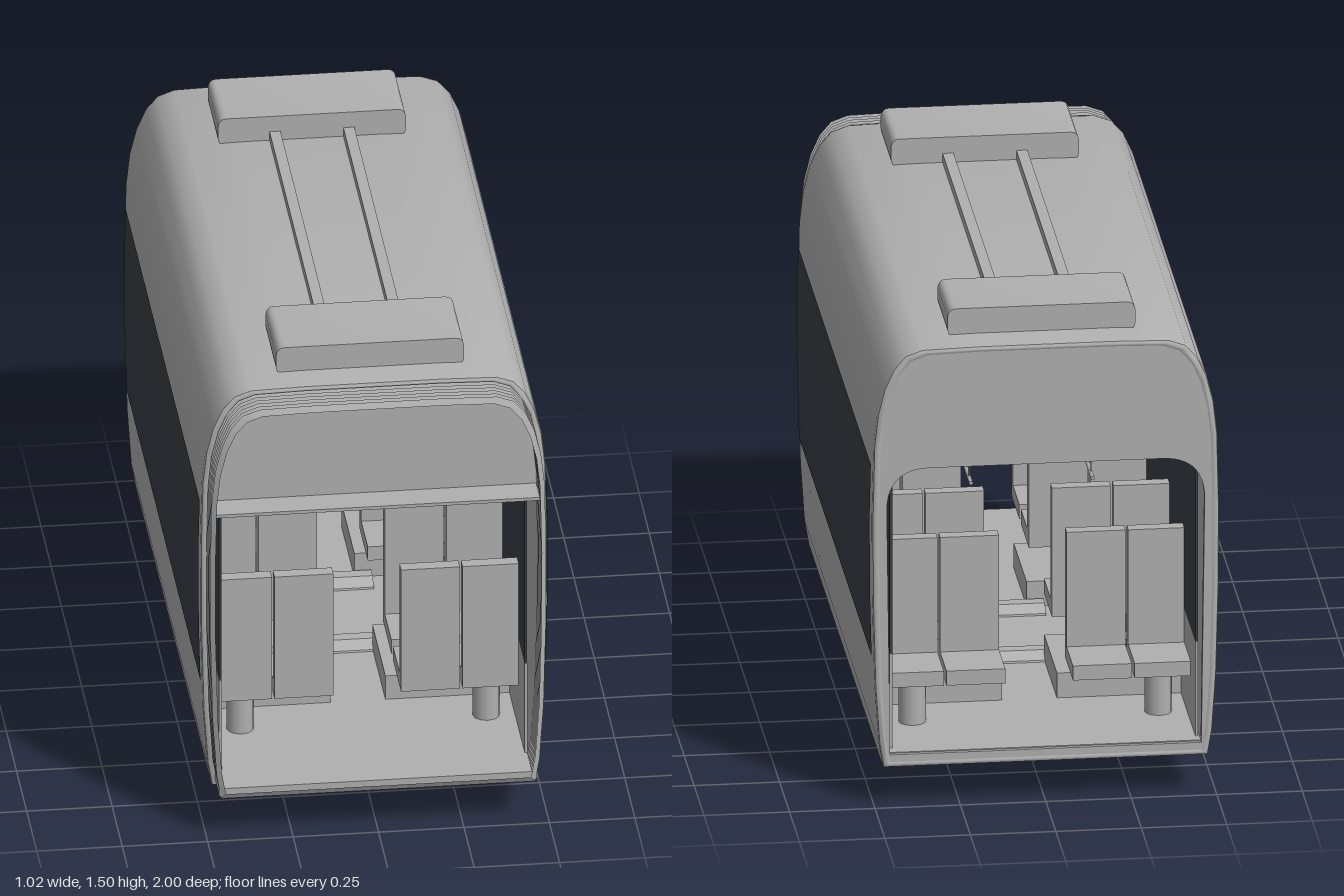
import * as THREE from 'three';
import { toCreasedNormals, mergeVertices } from 'three/addons/utils/BufferGeometryUtils.js';

// Right half of the carriage cross-section, from sill to roof centre
const PROFILE = [[0.475, 0.125], [0.488, 0.2], [0.5, 0.38], [0.507, 0.65], [0.508, 0.9], [0.503, 1.12],
  [0.492, 1.22], [0.472, 1.3], [0.445, 1.36], [0.41, 1.4], [0.36, 1.418], [0.2, 1.422]];

function halfWidth(y) {
  for (let i = 1; i < PROFILE.length; i++) {
    const [x0, y0] = PROFILE[i - 1], [x1, y1] = PROFILE[i];
    if (y <= y1) return x0 + (x1 - x0) * (y - y0) / (y1 - y0);
  }
  return 0.2;
}

// Full cross-section scaled about its centre
function section(sx = 1, sy = 1) {
  const right = PROFILE.map(([x, y]) => new THREE.Vector2(x * sx, 0.773 + (y - 0.773) * sy));
  const left = right.map((p) => new THREE.Vector2(-p.x, p.y)).reverse();
  return [...right, ...left];
}

// Arched doorway with rounded upper corners
function doorway() {
  const p = new THREE.Path();
  p.moveTo(-0.455, 0.165);
  p.lineTo(0.455, 0.165);
  p.lineTo(0.465, 0.93);
  p.quadraticCurveTo(0.46, 1.05, 0.34, 1.05);
  p.lineTo(-0.34, 1.05);
  p.quadraticCurveTo(-0.46, 1.05, -0.465, 0.93);
  p.closePath();
  return p;
}

export function createModel() {
  const model = new THREE.Group();
  const grey = new THREE.MeshStandardMaterial({ color: 0xb0b0b0, side: THREE.DoubleSide });
  grey.name = 'body grey';
  const glass = new THREE.MeshStandardMaterial({ color: 0x383f45, side: THREE.DoubleSide });
  glass.name = 'window dark';
  const screen = new THREE.MeshStandardMaterial({ color: 0x2c3440 });
  screen.name = 'screen blue black';

  const add = (name, geo, mat = grey, x = 0, y = 0, z = 0, parent = model) => {
    const mesh = new THREE.Mesh(geo, mat);
    mesh.name = name;
    mesh.position.set(x, y, z);
    parent.add(mesh);
    return mesh;
  };
  // Box given by its lower and upper limits
  const block = (name, x0, x1, y0, y1, z0, z1, mat = grey, parent = model) =>
    add(name, new THREE.BoxGeometry(x1 - x0, y1 - y0, z1 - z0), mat,
      (x0 + x1) / 2, (y0 + y1) / 2, (z0 + z1) / 2, parent);
  // Turned part lying along x
  const turned = (name, points, x, y, z, sides = 24) => {
    const geo = new THREE.LatheGeometry(points.map(([r, h]) => new THREE.Vector2(r, h)), sides);
    geo.rotateZ(-Math.PI / 2);
    return add(name, toCreasedNormals(geo, 0.6), grey, x, y, z);
  };

  // Outer shell: a tube with softly bevelled ends
  const shellShape = new THREE.Shape(section());
  shellShape.holes.push(new THREE.Path(section(0.95, 0.965)));
  const shell = new THREE.ExtrudeGeometry(shellShape, {
    depth: 1.86, bevelEnabled: true, bevelSize: 0.01, bevelThickness: 0.015, bevelOffset: -0.01, bevelSegments: 2,
  });
  shell.translate(0, 0, -0.985);
  add('bodyShell', toCreasedNormals(shell, 0.6));

  // Rear wall with doorway
  const rear = new THREE.Shape(section(0.965, 0.975));
  rear.holes.push(doorway());
  add('rearWall', new THREE.ExtrudeGeometry(rear, { depth: 0.02, bevelEnabled: false }), grey, 0, 0, -0.997);

  // Front panel above the entrance: upper part of the section only
  const upper = section(0.955, 0.968).filter((p) => p.y > 1.07);
  const panel = new THREE.Shape([new THREE.Vector2(0.48, 1.05), ...upper, new THREE.Vector2(-0.48, 1.05)]);
  add('frontHeaderPanel', new THREE.ExtrudeGeometry(panel, { depth: 0.015, bevelEnabled: false }), grey, 0, 0, 0.87);

  // Accordion gangway
  const rings = 13;
  const pos = [], idx = [];
  const n = section().length;
  for (let i = 0; i < rings; i++) {
    const s = i % 2 ? 0.968 : 0.94;
    for (const p of section(s, s + 0.015)) pos.push(p.x, p.y, 0.885 + (0.115 * i) / (rings - 1));
  }
  for (let i = 0; i < rings - 1; i++) {
    for (let j = 0; j < n; j++) {
      const a = i * n + j, b = i * n + (j + 1) % n;
      idx.push(a, b, a + n, b, b + n, a + n);
    }
  }
  const bellows = new THREE.BufferGeometry();
  bellows.setAttribute('position', new THREE.Float32BufferAttribute(pos, 3));
  bellows.setIndex(idx);
  add('gangwayBellows', toCreasedNormals(mergeVertices(bellows), 0.5));

  // Floor and ceiling
  block('floor', -0.465, 0.465, 0.145, 0.168, -0.985, 0.99);
  block('ceiling', -0.475, 0.475, 1.05, 1.06, -0.98, 0.975);

  for (const s of [1, -1]) {
    // Side windows following the wall curve
    const win = new THREE.PlaneGeometry(1.825, 0.595, 1, 8);
    win.rotateY(s * Math.PI / 2);
    win.translate(0, 0.7575, -0.0475);
    const p = win.attributes.position;
    for (let i = 0; i < p.count; i++) p.setX(i, s * (halfWidth(p.getY(i)) + 0.003));
    win.computeVertexNormals();
    add('sideWindow', win, glass);

    // Inner lining with glazed upper half
    block('wallLining', s * 0.447 - 0.004, s * 0.447 + 0.004, 0.15, 0.46, -0.95, 0.87);
    block('innerGlazing', s * 0.447 - 0.004, s * 0.447 + 0.004, 0.46, 1.04, -0.95, 0.865, glass);

    // Overhead handrail
    const rail = new THREE.CylinderGeometry(0.006, 0.006, 1.2, 8);
    rail.rotateX(Math.PI / 2);
    add('handrail', rail, grey, s * 0.178, 0.867, -0.05);
    for (const z of [-0.6, -0.05, 0.5]) {
      add('handrailHanger', new THREE.CylinderGeometry(0.003, 0.003, 0.18, 6), grey, s * 0.178, 0.96, z);
    }

    // Roof conduit
    block('roofConduit', s * 0.108 - 0.016, s * 0.108 + 0.016, 1.415, 1.45, -0.66, 0.55);
  }

  // Seat rows: backrest position and facing direction
  for (const [z, dir] of [[0.7, -1], [0.3, 1], [-0.28, 1], [-0.65, -1]]) {
    for (const x of [-0.365, -0.185, 0.185, 0.365]) {
      const seat = new THREE.Group();
      seat.name = 'seat';
      seat.position.set(x, 0, z);
      if (dir < 0) seat.rotation.y = Math.PI;
      model.add(seat);
      block('seatBack', -0.086, 0.086, 0.31, 0.71, -0.02, 0.02, grey, seat);
      block('seatCushion', -0.086, 0.086, 0.31, 0.355, 0.02, 0.18, grey, seat);
    }
    for (const s of [1, -1]) {
      add('seatPedestal', new THREE.CylinderGeometry(0.04, 0.04, 0.15, 12), grey, s * 0.36, 0.24, z + dir * 0.08);
    }
  }

  // Roof equipment boxes with rounded upper corners
  for (const z of [-0.89, 0.53]) {
    const b = new THREE.Shape();
    b.moveTo(-0.26, 1.415);
    b.lineTo(0.26, 1.415);
    b.quadraticCurveTo(0.275, 1.42, 0.275, 1.44);
    b.lineTo(0.275, 1.475);
    b.quadraticCurveTo(0.272, 1.5, 0.25, 1.5);
    b.lineTo(-0.25, 1.5);
    b.quadraticCurveTo(-0.272, 1.5, -0.275, 1.475);
    b.lineTo(-0.275, 1.44);
    b.quadraticCurveTo(-0.275, 1.42, -0.26, 1.415);
    const geo = new THREE.ExtrudeGeometry(b, { depth: z < 0 ? 0.25 : 0.26, bevelEnabled: false, curveSegments: 4 });
    add('roofUnit', toCreasedNormals(geo, 0.6), grey, 0, 0, z);
  }

  // Hanging passenger display
  block('displayCase', -0.132, 0.132, 0.925, 1.015, -0.065, -0.035);
  block('displayHanger', -0.006, 0.006, 1.01, 1.055, -0.056, -0.044);
  for (const z of [-0.067, -0.033]) block('displayScreen', -0.12, 0.12, 0.931, 1.009, z - 0.003, z + 0.003, screen);

  // Wheelsets with housings, brake discs and axles
  for (const z of [0.335, -0.43]) {
    add('axle', new THREE.CylinderGeometry(0.022, 0.022, 0.72, 16).rotateZ(Math.PI / 2), grey, 0, 0.137, z);
    for (const s of [1, -1]) {
      block('wheelCover', s * 0.263 - 0.183, s * 0.263 + 0.183, 0.165, 0.245, z - 0.16, z + 0.16);
      const wheel = turned('wheel', [[0, -0.03], [0.13, -0.03], [0.135, -0.024], [0.133, -0.012], [0.115, -0.006],
        [0.112, 0.026], [0.1, 0.03], [0.085, 0.015], [0.05, 0.015], [0.045, 0.04], [0, 0.04]], s * 0.33, 0.137, z, 32);
      if (s < 0) wheel.rotation.y = Math.PI;
      turned('brakeDisc', [[0, -0.01], [0.1, -0.01], [0.1, 0.01], [0, 0.01]], s * 0.203, 0.152, z);
      block('axleBox', s * 0.367 - 0.022, s * 0.367 + 0.022, 0.1, 0.2, z - 0.055, z + 0.055);
    }
  }

  // Underfloor cylinders
  for (const z of [0.145, -0.24]) {
    turned('underfloorTank', [[0, -0.128], [0.06, -0.128], [0.06, 0.128], [0, 0.128]], 0, 0.138, z, 10);
  }

  return model;
}
